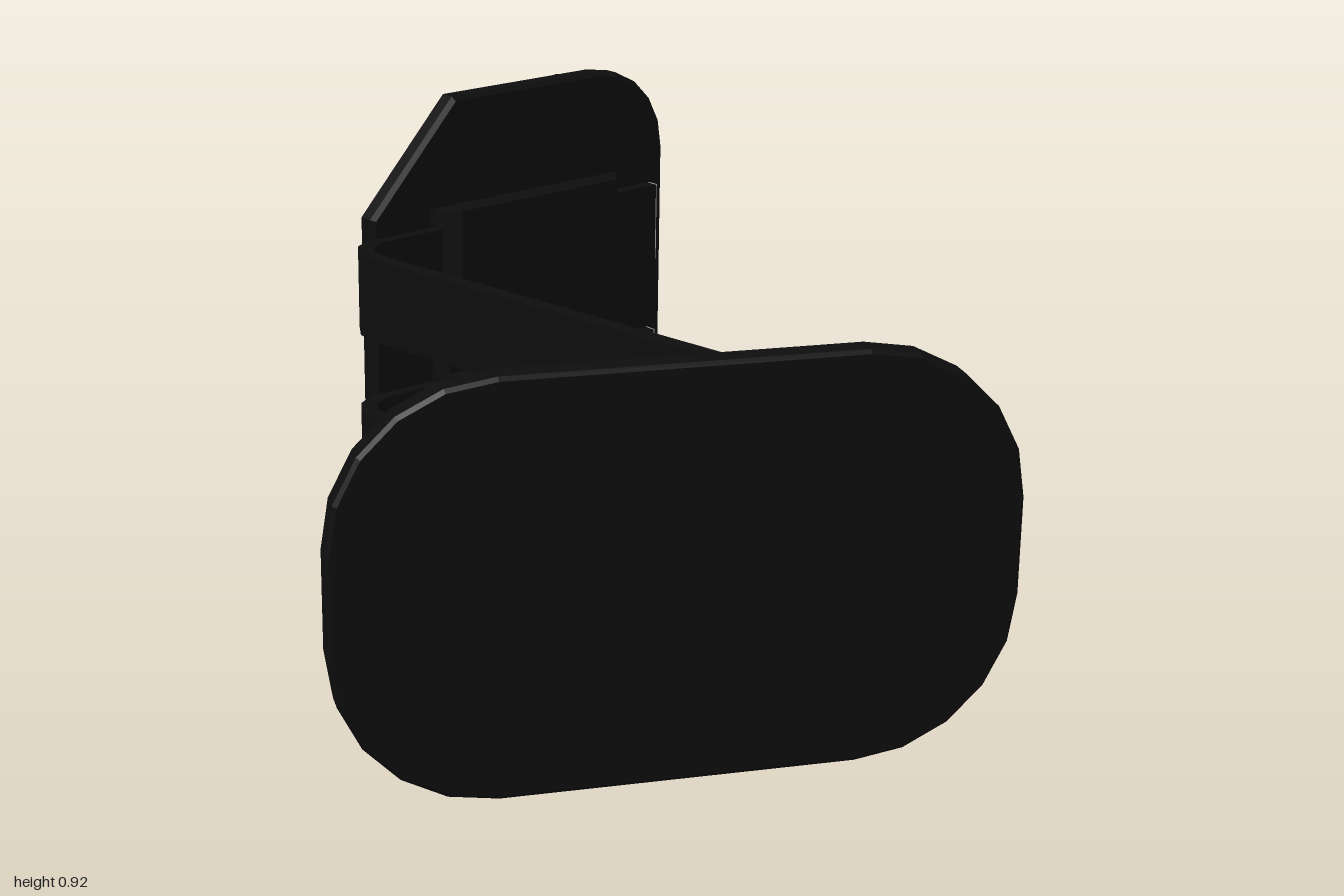
import * as THREE from 'three';

const black = new THREE.MeshStandardMaterial({ color: 0x0d0d0d });
black.name = 'matte black';
const grey = new THREE.MeshStandardMaterial({ color: 0xb0b0b0 });
grey.name = 'light grey';

const MID = 0.4575; // height of the symmetry plane
const STRAP = [[0.24, 0.385], [0.53, 0.68]]; // strap height ranges

function add(parent, name, geometry, material = black) {
  const mesh = new THREE.Mesh(geometry, material);
  mesh.name = name;
  parent.add(mesh);
  return mesh;
}

// Upright prism: outline given as [x, z] pairs, from y0 to y1
function prism(outline, y0, y1) {
  const shape = new THREE.Shape(outline.map(([x, z]) => new THREE.Vector2(x, -z)));
  const g = new THREE.ExtrudeGeometry(shape, { depth: y1 - y0, bevelEnabled: false });
  return g.rotateX(-Math.PI / 2).translate(0, y0, 0);
}

// Plate with bevelled rim: outline given as [x, y] pairs, from z0 to z1
function plate(outline, z0, z1, bevel) {
  const shape = new THREE.Shape(outline.map(([x, y]) => new THREE.Vector2(x, y)));
  const g = new THREE.ExtrudeGeometry(shape, {
    depth: z1 - z0 - 2 * bevel, bevelThickness: bevel, bevelSize: bevel,
    bevelOffset: -bevel, bevelSegments: 1,
  });
  return g.translate(0, 0, z0 + bevel);
}

// Points of a quarter-circle corner in five steps
function corner(cx, cy, r, start) {
  return Array.from({ length: 6 }, (_, i) => {
    const a = start + (i / 5) * Math.PI / 2;
    return [cx + r * Math.cos(a), cy + r * Math.sin(a)];
  });
}

// Band of even thickness following an [x, z] path
function ribbon(path, thickness) {
  const left = [], right = [];
  path.forEach(([x, z], i) => {
    const a = path[Math.max(i - 1, 0)], b = path[Math.min(i + 1, path.length - 1)];
    const dx = b[0] - a[0], dz = b[1] - a[1];
    const k = thickness / 2 / Math.hypot(dx, dz);
    left.push([x - dz * k, z + dx * k]);
    right.unshift([x + dz * k, z - dx * k]);
  });
  return left.concat(right);
}

// Clamp housing: low base with a tall chamfered cover over each strap
function addHousing(parent, x0, x1, z0, height) {
  const chamfered = (h, c) => [[x0, z0], [x1, z0], [x1, z0 + h * 0.3],
    [x1 - c, z0 + h], [x0 + c, z0 + h], [x0, z0 + h * 0.3]];
  add(parent, 'housingBase', prism(chamfered(height * 0.55, 0.02), 0.2, 0.715));
  for (const [y0, y1] of [[0.2, 0.4], [0.515, 0.715]]) {
    add(parent, 'strapCover', prism(chamfered(height, 0.036), y0, y1));
  }
}

export function createModel() {
  const model = new THREE.Group();
  model.name = 'strappedPads';

  // Front pad
  const frontPad = new THREE.Group();
  frontPad.name = 'frontPad';
  model.add(frontPad);
  const cx = 0.275, cy = 0.0775, r = 0.25, H = Math.PI / 2;
  add(frontPad, 'frontPlate', plate([
    ...corner(cx, MID + cy, r, 0), ...corner(-cx, MID + cy, r, H),
    ...corner(-cx, MID - cy, r, 2 * H), ...corner(cx, MID - cy, r, 3 * H),
  ], 0.953, 1, 0.006));
  const frontHousing = new THREE.Group();
  frontHousing.name = 'frontHousing';
  frontHousing.rotation.y = Math.PI; // covers face the rear
  frontPad.add(frontHousing);
  addHousing(frontHousing, -0.16, 0.275, -0.955, 0.06);

  // Rear pad, turned about the vertical
  const tilt = 26 * Math.PI / 180;
  const rearPad = new THREE.Group();
  rearPad.name = 'rearPad';
  rearPad.rotation.y = tilt;
  model.add(rearPad);
  add(rearPad, 'rearPlate', plate([
    [-0.185, 0.2], [0.002, 0], ...corner(0.343, 0.17, 0.17, 3 * H),
    ...corner(0.343, 0.745, 0.17, 0), [0.002, 0.915], [-0.185, 0.715],
  ], -0.257, -0.215, 0.008));
  addHousing(rearPad, -0.055, 0.385, -0.218, 0.052);

  // Raised panel on the back of the rear pad
  add(rearPad, 'rearPanel', plate([
    [-0.12, 0.23], [0.03, 0.07], [0.078, 0.07],
    [0.078, 0.845], [0.03, 0.845], [-0.12, 0.685],
  ], -0.298, -0.25, 0.008));

  // Two straps joining the pads, with pale cut ends
  const rear = (u, n) => [u * Math.cos(tilt) - n * Math.sin(tilt),
    -u * Math.sin(tilt) - n * Math.cos(tilt)];
  const path = [[-0.345, 0.942], [0.12, 0.942], [0.19, 0.935], [0.23, 0.905],
    [0.247, 0.86], [0.242, 0.82], [0.222, 0.78], [-0.268, 0.012], [-0.285, -0.03],
    [-0.28, -0.07], [-0.255, -0.105], rear(-0.13, 0.207), rear(0.475, 0.207)];
  for (const [y0, y1] of STRAP) {
    const h = y1 - y0, y = (y0 + y1) / 2;
    add(model, 'strap', prism(ribbon(path, 0.03), y0, y1));
    add(model, 'strapEnd', new THREE.BoxGeometry(0.004, h, 0.026), grey)
      .position.set(-0.346, y, 0.942);
    add(rearPad, 'strapEnd', new THREE.BoxGeometry(0.004, h, 0.028), grey)
      .position.set(0.476, y, -0.207);
  }

  // Cable looping between the pads
  const cable = new THREE.CatmullRomCurve3([
    [0.28, 0.455, 0.96], [0.28, 0.45, 0.85], [0.25, 0.41, 0.72], [0.19, 0.335, 0.56],
    [0.11, 0.33, 0.43], [0, 0.41, 0.3], [-0.07, 0.5, 0.17], [-0.097, 0.555, 0.06],
    [-0.07, 0.575, -0.015], [0, 0.545, -0.048], [0.08, 0.5, -0.045],
    [0.138, 0.47, -0.08], [0.145, 0.455, -0.15], [0.1, 0.45, -0.24],
  ].map((p) => new THREE.Vector3(...p)));
  add(model, 'cable', new THREE.TubeGeometry(cable, 80, 0.025, 10));

  // Sheet sliding in a thin frame behind the rear pad
  const flap = new THREE.Group();
  flap.name = 'flap';
  flap.position.x = 0.295;
  model.add(flap);
  const box = (name, w, y0, y1, z0, z1) =>
    add(flap, name, new THREE.BoxGeometry(w, y1 - y0, z1 - z0))
      .position.set(0, (y0 + y1) / 2, (z0 + z1) / 2);
  box('flapSheet', 0.01, 0.165, 0.772, -1, -0.53);
  box('flapRail', 0.024, 0.14, 0.17, -0.77, -0.42);
  box('flapRail', 0.024, 0.745, 0.777, -0.77, -0.42);
  box('flapCrossbar', 0.04, 0.14, 0.777, -0.49, -0.41);

  return model;
}
